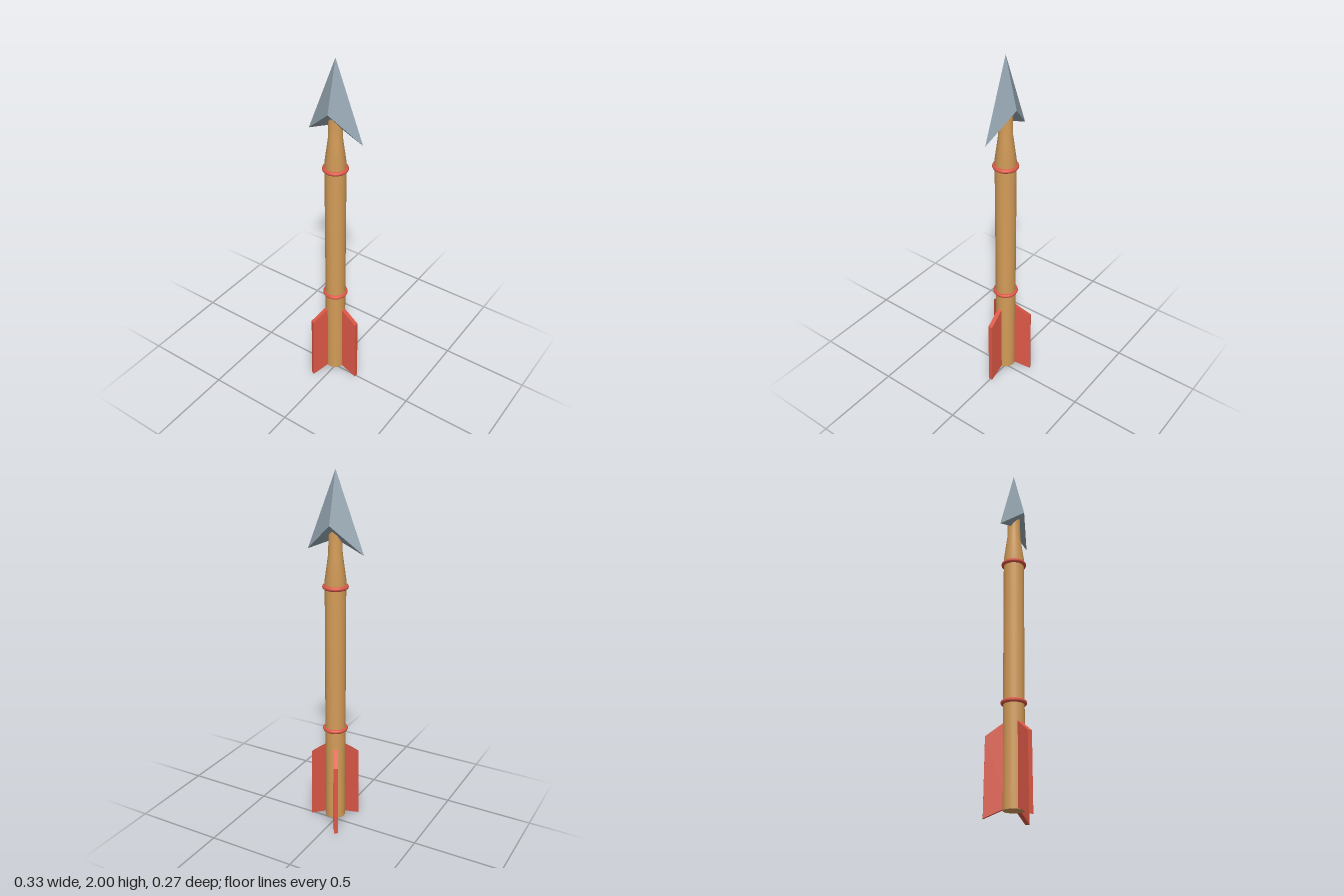
import * as THREE from 'three';

const wood = new THREE.MeshStandardMaterial({ color: 0xd39c58 });
wood.name = 'wood';
const red = new THREE.MeshStandardMaterial({ color: 0xdc5846 });
red.name = 'red';
const steel = new THREE.MeshStandardMaterial({ color: 0x94a5b0, flatShading: true });
steel.name = 'steel';

function addMesh(parent, name, geometry, material) {
  const mesh = new THREE.Mesh(geometry, material);
  mesh.name = name;
  parent.add(mesh);
  return mesh;
}

// Barbed point: two wings, a ridge on each face and a notched underside
function headGeometry() {
  const tip = [0, 2, 0];
  const notch = [0, 1.655, 0];
  const rim = [[0.163, 1.585, 0], [0, 1.73, 0.066], [-0.163, 1.585, 0], [0, 1.73, -0.066]];
  const positions = [];
  rim.forEach((a, i) => {
    const b = rim[(i + 1) % 4];
    positions.push(...tip, ...b, ...a, ...notch, ...a, ...b);
  });
  const geometry = new THREE.BufferGeometry();
  geometry.setAttribute('position', new THREE.Float32BufferAttribute(positions, 3));
  geometry.computeVertexNormals();
  return geometry;
}

// Vane cut from a flat outline, centred on its thickness
function finGeometry() {
  const outline = [[0.03, 0.055], [0.05, 0.046], [0.15, 0], [0.145, 0.41], [0.05, 0.484], [0.03, 0.484]];
  const shape = new THREE.Shape(outline.map(([x, y]) => new THREE.Vector2(x, y)));
  const geometry = new THREE.ExtrudeGeometry(shape, { depth: 0.024, bevelEnabled: false });
  return geometry.translate(0, 0, -0.012);
}

export function createModel() {
  const group = new THREE.Group();
  group.name = 'arrow';

  // Shaft narrowing into the head
  const profile = [[0.056, 0.04], [0.056, 1.44], [0.037, 1.58], [0.036, 1.7]];
  addMesh(group, 'shaft', new THREE.LatheGeometry(profile.map(([r, y]) => new THREE.Vector2(r, y)), 32), wood);
  const end = addMesh(group, 'shaftEnd', new THREE.CircleGeometry(0.056, 32), wood);
  end.rotation.x = Math.PI / 2;
  end.position.y = 0.04;

  addMesh(group, 'head', headGeometry(), steel);

  // Binding rings
  const ring = new THREE.TorusGeometry(0.057, 0.012, 10, 32).rotateX(Math.PI / 2);
  [['lowerRing', 0.592], ['upperRing', 1.403]].forEach(([name, y]) => {
    addMesh(group, name, ring, red).position.y = y;
  });

  // Three vanes around the tail
  const fin = finGeometry();
  for (let i = 0; i < 3; i++) {
    addMesh(group, `fin${i + 1}`, fin, red).rotation.y = (i * Math.PI * 2) / 3;
  }
  return group;
}
